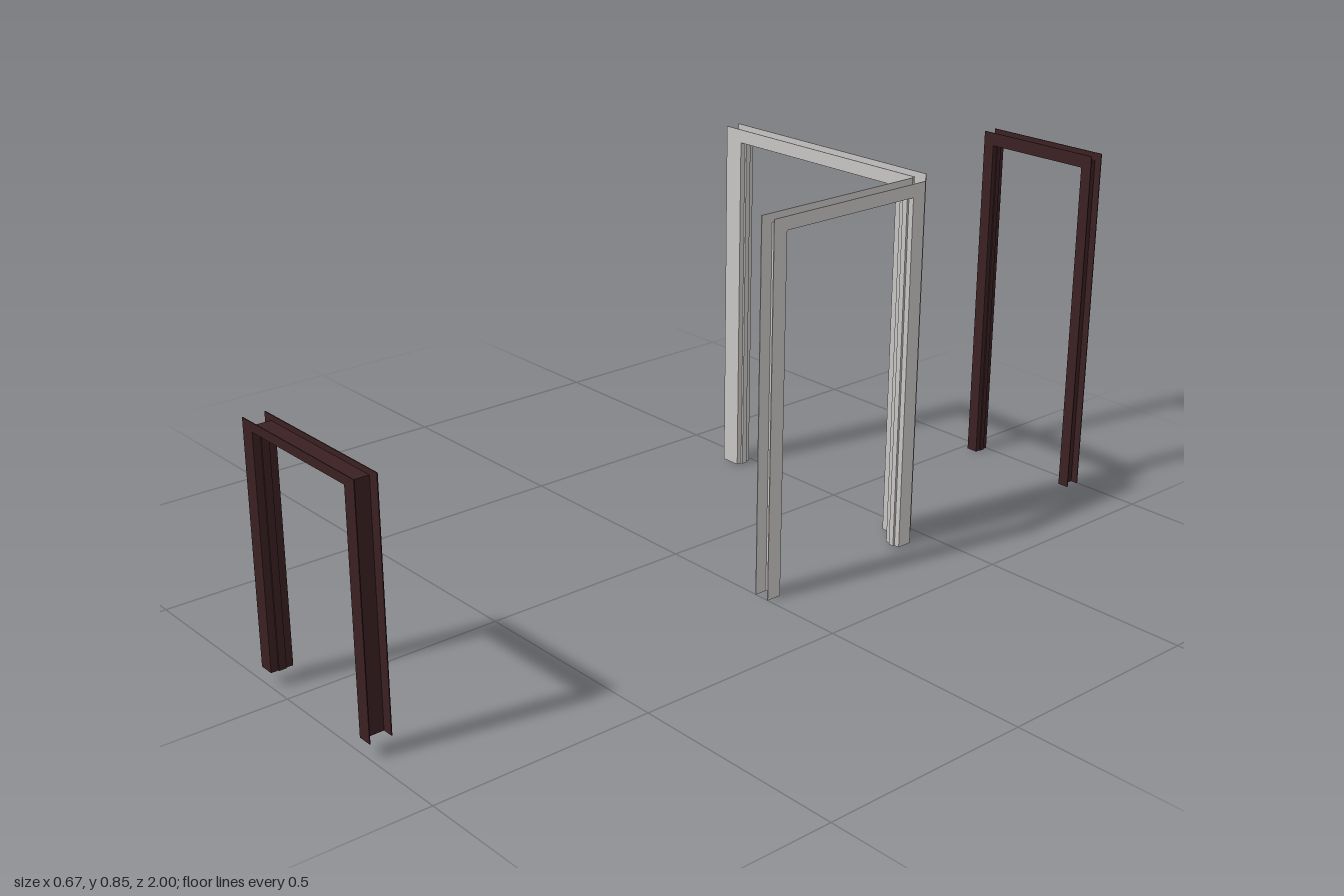
import * as THREE from 'three';

// Upside-down U outline: outer [left, right, top], inner [left, right, top]
function portal(outer, inner, base, z0, z1, material, name) {
  const [a, b, t] = outer, [c, d, s] = inner;
  const pts = [[a, base], [c, base], [c, s], [d, s], [d, base], [b, base], [b, t], [a, t]];
  const shape = new THREE.Shape(pts.map(([x, y]) => new THREE.Vector2(x, y)));
  const geometry = new THREE.ExtrudeGeometry(shape, { depth: z1 - z0, bevelEnabled: false });
  geometry.translate(0, 0, z0);
  const mesh = new THREE.Mesh(geometry, material);
  mesh.name = name;
  return mesh;
}

// Door frame: thin casings on both wall faces, a narrower lining and a central stop
function doorFrame({ name, casing, lining, opening, base, z, stop, material }) {
  const group = new THREE.Group();
  group.name = name;
  const [z0, z1] = z, plate = 0.002, third = (z1 - z0) / 3;
  const [l, r, top] = opening;
  const clear = [l + stop, r - stop, top - stop];
  group.add(
    portal(casing, opening, base, z0, z0 + plate, material, 'backCasing'),
    portal(casing, opening, base, z1 - plate, z1, material, 'frontCasing'),
    portal(lining, opening, base, z0 + plate, z1 - plate, material, 'lining'),
    portal(opening, clear, base, z0 + third, z1 - third, material, 'doorStop')
  );
  return group;
}

export function createModel() {
  const darkWood = new THREE.MeshStandardMaterial({ color: 0x3a2022 });
  darkWood.name = 'darkWood';
  const paleGrey = new THREE.MeshStandardMaterial({ color: 0xc8c6c3 });
  paleGrey.name = 'paleGrey';

  const model = new THREE.Group();
  model.name = 'doorFrames';

  model.add(doorFrame({
    name: 'frontDarkFrame', material: darkWood, base: 0.033, z: [0.95, 1.0], stop: 0.003,
    casing: [-0.093, 0.297, 0.565], lining: [-0.07, 0.272, 0.553], opening: [-0.058, 0.264, 0.545]
  }));
  model.add(doorFrame({
    name: 'backDarkFrame', material: darkWood, base: 0, z: [-1.0, -0.962], stop: 0.003,
    casing: [0.015, 0.335, 0.822], lining: [0.032, 0.318, 0.803], opening: [0.043, 0.308, 0.791]
  }));
  model.add(doorFrame({
    name: 'wideGreyFrame', material: paleGrey, base: 0, z: [-0.489, -0.45], stop: 0.005,
    casing: [-0.338, 0.262, 0.85], lining: [-0.305, 0.226, 0.83], opening: [-0.289, 0.21, 0.819]
  }));

  // Side frame stands at right angles: local x runs along world z
  const side = doorFrame({
    name: 'sideGreyFrame', material: paleGrey, base: 0, z: [-0.303, -0.264], stop: 0.005,
    casing: [-0.442, 0, 0.85], lining: [-0.418, -0.029, 0.83], opening: [-0.406, -0.036, 0.82]
  });
  side.rotation.y = -Math.PI / 2;
  model.add(side);

  return model;
}
